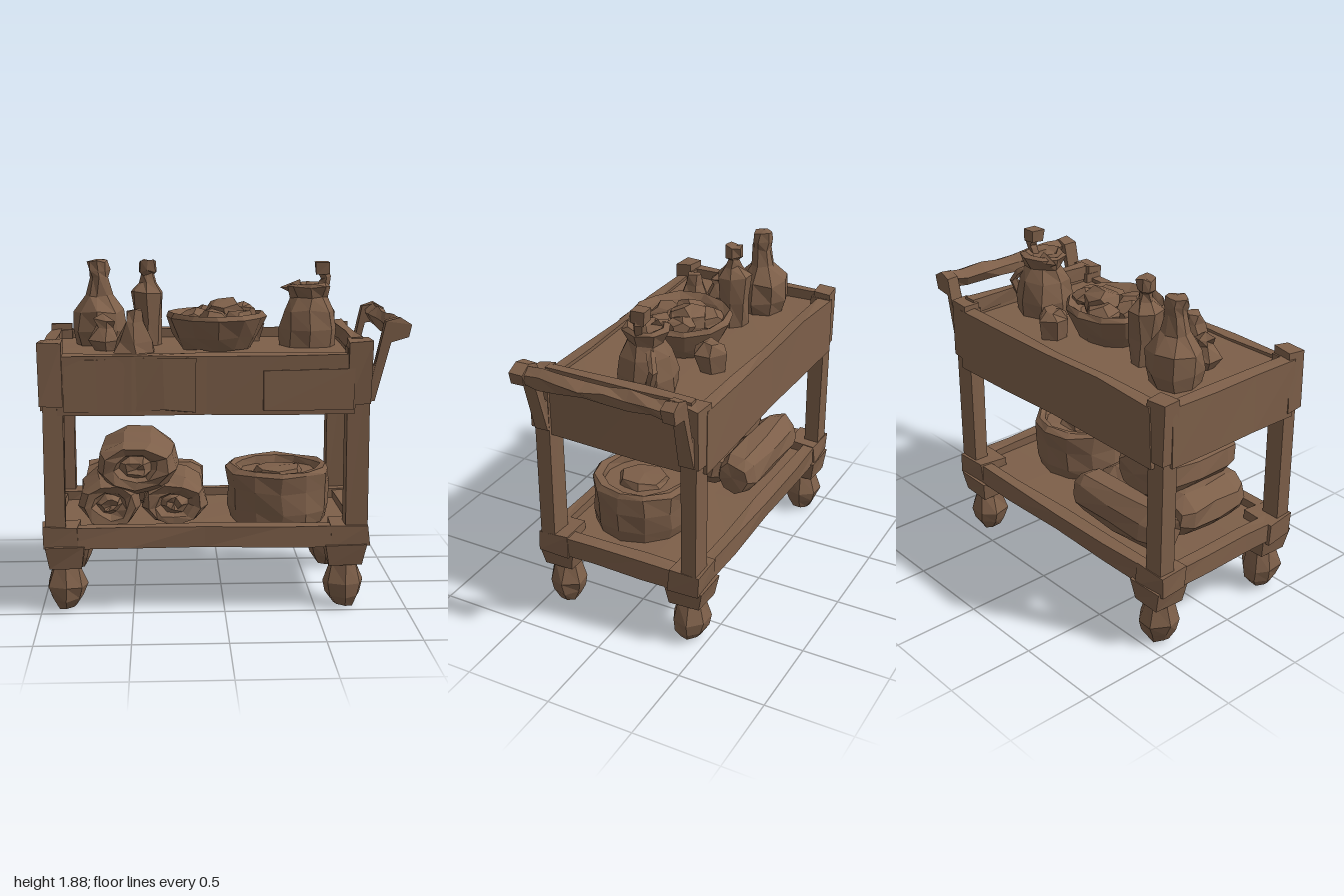
import * as THREE from 'three';

const wood = new THREE.MeshStandardMaterial({ color: 0x7d5f49, flatShading: true, side: THREE.DoubleSide });
wood.name = 'carvedBrown';

// Small repeatable offset that depends on position, so shared corners stay closed
function hash(x, y, z, k) {
  const s = Math.sin(Math.round(x * 500) * 12.9898 + Math.round(y * 500) * 78.233 + Math.round(z * 500) * 37.719 + k * 11.13) * 43758.5453;
  return (s - Math.floor(s)) * 2 - 1;
}
function roughen(geo, amount) {
  const p = geo.attributes.position;
  for (let i = 0; i < p.count; i++) {
    const x = p.getX(i), y = p.getY(i), z = p.getZ(i);
    p.setXYZ(i, x + hash(x, y, z, 1) * amount, y + hash(x, y, z, 2) * amount, z + hash(x, y, z, 3) * amount);
  }
  const flat = geo.index ? geo.toNonIndexed() : geo;
  flat.computeVertexNormals();
  return flat;
}

export function createModel() {
  const model = new THREE.Group();
  model.name = 'servingCart';

  const add = (name, geo, rough = 0.008) => {
    const mesh = new THREE.Mesh(roughen(geo, rough), wood);
    mesh.name = name;
    model.add(mesh);
  };
  // Box given by its limits
  const box = (name, x0, x1, y0, y1, z0, z1, rough = 0.007) => {
    const w = x1 - x0, d = z1 - z0;
    const g = new THREE.BoxGeometry(w, y1 - y0, d, w > 0.6 ? 4 : 1, 1, d > 0.6 ? 3 : 1);
    g.translate((x0 + x1) / 2, (y0 + y1) / 2, (z0 + z1) / 2);
    add(name, g, rough);
  };
  // Turned object from radius/height pairs
  const turned = (name, x, z, profile, sides = 8, rough = 0.01) => {
    const g = new THREE.LatheGeometry(profile.map(([r, y]) => new THREE.Vector2(r, y)), sides);
    // Close the seam exactly before roughening
    const p = g.attributes.position, n = profile.length;
    for (let j = 0; j < n; j++) p.setXYZ(sides * n + j, p.getX(j), p.getY(j), p.getZ(j));
    g.translate(x, 0, z);
    add(name, g, rough);
  };
  // Bar with a faceted section running through a list of points
  const bar = (name, points, radius, segments, rough) => {
    const path = new THREE.CurvePath();
    for (let i = 1; i < points.length; i++) {
      path.add(new THREE.LineCurve3(new THREE.Vector3(...points[i - 1]), new THREE.Vector3(...points[i])));
    }
    add(name, new THREE.TubeGeometry(path, segments, radius, 5, false), rough);
  };

  // Legs, corner blocks and casters
  for (const z of [-1, 1]) {
    const zr = (a, b) => (z > 0 ? [a, b] : [-b, -a]);
    for (const left of [false, true]) {
      const x = left ? 0.66 : -0.865;
      box('leg', ...(left ? [0.655, 0.78] : [-0.97, -0.86]), 0.4, 1.45, ...zr(0.395, 0.485), 0.004);
      box('legCap', ...(left ? [0.655, 0.78] : [-0.985, -0.865]), 1.15, 1.49, ...zr(0.405, 0.505), 0.01);
      box('footUpperBlock', ...(left ? [0.575, 0.785] : [-0.99, -0.79]), 0.36, 0.485, ...zr(0.32, 0.495), 0.009);
      const g = new THREE.CylinderGeometry(0.155, 0.125, 0.12, 4, 1);
      g.rotateY(Math.PI / 4);
      g.translate(x, 0.315, z * 0.4);
      add('footLowerBlock', g, 0.006);
      turned('caster', x, z * 0.395, [[0, 0.005], [0.055, 0.01], [0.095, 0.07], [0.112, 0.14], [0.08, 0.25], [0, 0.265]], 7, 0.008);
    }
  }

  // Lower shelf with raised rim
  box('lowerShelfFloor', -0.96, 0.75, 0.365, 0.435, -0.46, 0.46, 0.003);
  for (const s of [-1, 1]) {
    box('lowerShelfLongRail', -0.95, 0.74, 0.365, 0.48, s * 0.455 - 0.035, s * 0.455 + 0.035);
  }
  box('lowerShelfLeftRail', -0.98, -0.9, 0.365, 0.48, -0.45, 0.45);
  box('lowerShelfRightRail', 0.69, 0.775, 0.365, 0.48, -0.45, 0.45);

  // Upper tray with hanging skirt boards
  box('trayFloor', -0.95, 0.74, 1.28, 1.4, -0.47, 0.47, 0.004);
  box('frontSkirt', -0.9, 0.7, 1.1, 1.415, 0.43, 0.495, 0.01);
  box('frontPatchLeft', -0.85, -0.15, 1.12, 1.4, 0.46, 0.5, 0.008);
  box('frontPatchRight', 0.2, 0.69, 1.12, 1.34, 0.46, 0.508, 0.008);
  box('backSkirt', -0.9, 0.7, 1.1, 1.455, -0.505, -0.43, 0.01);
  box('leftSkirt', -0.985, -0.92, 1.12, 1.455, -0.44, 0.44);
  box('rightSkirt', 0.69, 0.765, 1.11, 1.46, -0.42, 0.42);
  box('rightTopRail', 0.68, 0.74, 1.42, 1.5, -0.43, 0.43);

  // Push handle
  for (const s of [-1, 1]) {
    const shape = new THREE.Shape([[0.76, 1.15], [0.8, 1.16], [0.88, 1.48], [0.975, 1.5], [0.99, 1.57], [0.93, 1.605], [0.86, 1.585], [0.81, 1.37], [0.76, 1.3]]
      .map(([x, y]) => new THREE.Vector2(x, y)));
    const g = new THREE.ExtrudeGeometry(shape, { depth: 0.075, bevelEnabled: false });
    g.translate(0, 0, s * 0.435 - 0.0375);
    add('handleArm', g, 0.006);
  }
  bar('handleBar', [[0.93, 1.55, -0.45], [0.92, 1.545, -0.15], [0.94, 1.54, 0.15], [0.93, 1.55, 0.45]], 0.052, 7, 0.012);

  // Rolled bundles on the shelf, blunt at one end and with a sunken coil at the other
  const roll = (name, x, y, z, length, rx, ry, turn) => {
    const h = length / 2;
    const prof = [[0, -h], [0.7, -h + 0.005], [0.96, -h + 0.07], [1, 0], [0.98, h - 0.09], [0.83, h], [0.55, h - 0.01], [0.4, h - 0.06], [0.25, h - 0.01], [0, h - 0.02]];
    const g = new THREE.LatheGeometry(prof.map(([r, t]) => new THREE.Vector2(r, t)), 9);
    g.rotateX(Math.PI / 2);
    g.scale(rx, ry, 1);
    g.rotateY(turn);
    g.translate(x, y, z);
    add(name, g, 0.012);
  };
  roll('leftRoll', -0.635, 0.565, 0.1, 0.5, 0.175, 0.14, 0.04);
  roll('rightRoll', -0.27, 0.565, 0.07, 0.54, 0.185, 0.14, 0);
  roll('backRoll', -0.44, 0.565, -0.265, 0.68, 0.13, 0.14, -Math.PI / 2);
  roll('topRoll', -0.475, 0.775, 0.08, 0.59, 0.23, 0.155, -0.03);

  // Cooking pot with a sunken lid
  turned('pot', 0.32, 0.085, [[0, 0.43], [0.27, 0.43], [0.28, 0.5], [0.288, 0.62], [0.295, 0.72], [0.27, 0.745], [0.235, 0.735], [0.225, 0.69], [0, 0.7]], 12, 0.01);
  turned('potLidKnob', 0.32, 0.085, [[0.15, 0.69], [0.13, 0.725], [0, 0.73]], 7);

  // Bottles
  turned('largeBottle', -0.69, -0.15, [[0, 1.39], [0.13, 1.39], [0.155, 1.48], [0.145, 1.59], [0.075, 1.68], [0.055, 1.78], [0.06, 1.82], [0.056, 1.875], [0, 1.875]], 8);
  turned('slimBottle', -0.41, -0.1, [[0, 1.39], [0.08, 1.39], [0.085, 1.55], [0.092, 1.7], [0.045, 1.76], [0.035, 1.8], [0.05, 1.82], [0.045, 1.875], [0, 1.875]], 7);
  turned('smallFlask', -0.65, 0.1, [[0, 1.39], [0.07, 1.39], [0.09, 1.46], [0.045, 1.53], [0.06, 1.57], [0, 1.59]], 6, 0.014);
  turned('smallCone', -0.48, 0.19, [[0, 1.39], [0.12, 1.39], [0.105, 1.46], [0.06, 1.56], [0.045, 1.62], [0, 1.64]], 6, 0.014);
  turned('smallCup', 0.17, -0.25, [[0, 1.39], [0.075, 1.39], [0.095, 1.51], [0.05, 1.56], [0, 1.55]], 6, 0.012);

  // Bowl filled with food lumps
  turned('bowl', -0.03, 0.03, [[0, 1.39], [0.2, 1.4], [0.24, 1.47], [0.285, 1.575], [0.265, 1.6], [0.23, 1.57], [0.2, 1.53], [0, 1.53]], 12, 0.009);
  const lumps = [[0.02, 1.59, -0.03, 0.12], [-0.15, 1.555, 0.04, 0.1], [-0.04, 1.555, 0.13, 0.1], [0.1, 1.555, 0.1, 0.09], [0.13, 1.59, -0.05, 0.08], [-0.08, 1.56, -0.11, 0.1]];
  lumps.forEach(([x, y, z, r], i) => {
    const g = new THREE.DodecahedronGeometry(r, 0);
    g.rotateX(i * 1.3);
    g.rotateY(i);
    g.scale(1, 0.7, 1);
    g.translate(x, y, z);
    add('foodLump', g, 0.01);
  });

  // Jug with a flared rim, spout, handle and a ladle stub
  turned('jug', 0.5, -0.05, [[0, 1.39], [0.16, 1.39], [0.165, 1.49], [0.14, 1.6], [0.1, 1.67], [0.13, 1.735], [0.105, 1.75], [0.07, 1.735], [0, 1.73]], 8);
  bar('jugHandle', [[0.58, 1.64, -0.11], [0.65, 1.59, -0.17], [0.62, 1.46, -0.13]], 0.025, 4, 0.006);
  const spout = new THREE.ConeGeometry(0.05, 0.12, 4);
  spout.rotateZ(Math.PI / 2);
  spout.translate(0.395, 1.72, -0.09);
  add('jugSpout', spout, 0.006);
  bar('ladleStem', [[0.55, 1.68, -0.06], [0.6, 1.77, -0.06], [0.58, 1.82, -0.06]], 0.032, 4, 0.005);
  box('ladleTip', 0.54, 0.615, 1.8, 1.865, -0.1, -0.02, 0.006);

  return model;
}
